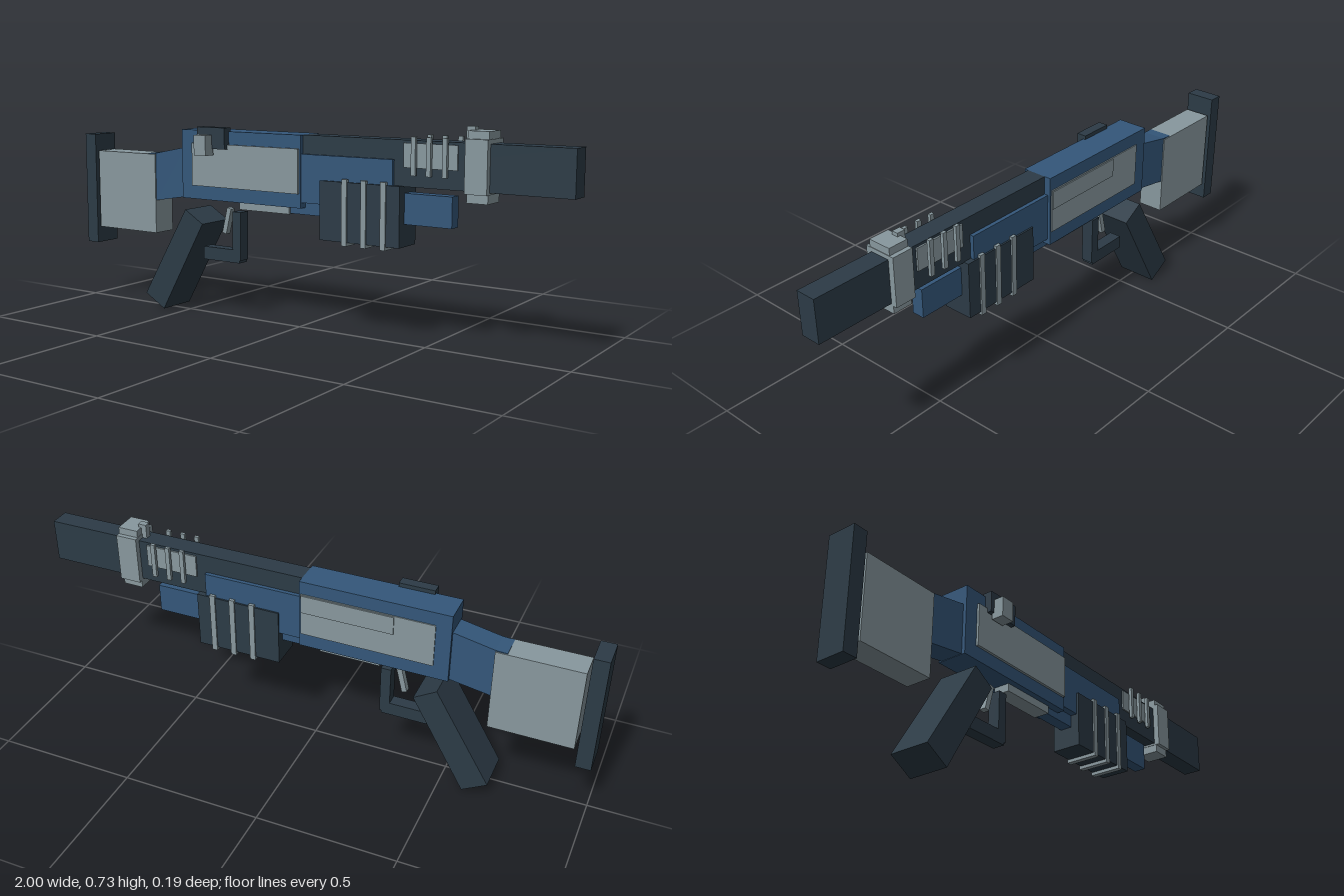
import * as THREE from 'three';

export function createModel() {
  const model = new THREE.Group();
  model.name = 'pumpActionProp';

  const paint = (name, color) => {
    const m = new THREE.MeshStandardMaterial({ color });
    m.name = name;
    return m;
  };
  const dark = paint('dark slate', 0x2c3b46);
  const blue = paint('steel blue', 0x34577a);
  const grey = paint('pale grey', 0x88989e);

  const MID = -0.02; // centre plane of the body

  const add = (name, geometry, material) => {
    const mesh = new THREE.Mesh(geometry, material);
    mesh.name = name;
    model.add(mesh);
    return mesh;
  };
  // box given by its limits on each axis
  const box = (name, mat, x0, x1, y0, y1, z0, z1) => {
    const mesh = add(name, new THREE.BoxGeometry(x1 - x0, y1 - y0, z1 - z0), mat);
    mesh.position.set((x0 + x1) / 2, (y0 + y1) / 2, (z0 + z1) / 2);
    return mesh;
  };
  // side outline extruded between two depths
  const slab = (name, mat, points, z0, z1) => {
    const shape = new THREE.Shape(points.map(([x, y]) => new THREE.Vector2(x, y)));
    const geo = new THREE.ExtrudeGeometry(shape, { depth: z1 - z0, bevelEnabled: false });
    return add(name, geo.translate(0, 0, z0), mat);
  };

  // stock
  box('buttPad', dark, -1, -0.947, 0.219, 0.647, -0.078, 0.03);
  box('stock', grey, -0.936, -0.645, 0.283, 0.583, -0.071, 0.024);
  slab('stockNeck', blue,
    [[-0.685, 0.4], [-0.645, 0.408], [-0.5, 0.432], [-0.5, 0.616], [-0.645, 0.587], [-0.685, 0.585]],
    -0.067, 0.019);

  // receiver with side plates
  box('receiver', blue, -0.503, 0.026, 0.43, 0.683, -0.079, 0.032);
  box('sidePlateLeft', grey, -0.45, 0.02, 0.48, 0.636, 0.03, 0.041);
  box('sidePlateRight', grey, -0.45, 0.02, 0.48, 0.636, -0.083, -0.077);
  box('ejectionCover', grey, -0.31, 0.018, 0.567, 0.633, -0.087, -0.08);
  box('loadingPort', grey, -0.256, -0.037, 0.402, 0.433, -0.05, 0.01);

  // bolt and handle
  box('bolt', dark, -0.41, -0.285, 0.62, 0.697, 0.022, 0.058);
  box('boltHandle', grey, -0.395, -0.342, 0.597, 0.67, 0.05, 0.095);

  // barrel, magazine tube and handguard
  box('barrel', dark, 0.026, 1, 0.531, 0.683, -0.055, 0.017);
  box('magazineTube', blue, -0.037, 0.59, 0.405, 0.508, -0.042, 0.003);
  box('handguard', blue, 0.024, 0.385, 0.45, 0.618, -0.069, 0.028);

  // pump with wrapping ribs
  box('pump', dark, 0.107, 0.417, 0.329, 0.533, -0.075, 0.036);
  for (const x of [0.207, 0.282, 0.357])
    box('pumpRib', grey, x - 0.01, x + 0.01, 0.317, 0.543, -0.08, 0.041);

  // heat shield plates and pins on both sides
  box('heatShield', grey, 0.422, 0.615, 0.594, 0.674, -0.061, 0.022);
  for (const x of [0.465, 0.52, 0.577])
    for (const side of [-1, 1]) {
      const z = MID - 0.003 + side * 0.055;
      box('shieldPin', grey, x - 0.008, x + 0.008, 0.57, 0.696, z - 0.006, z + 0.006);
    }

  // barrel band and front sight
  box('barrelBand', grey, 0.647, 0.724, 0.524, 0.697, -0.076, 0.038);
  box('barrelBandCore', grey, 0.649, 0.722, 0.495, 0.722, -0.06, 0.024);
  box('frontSight', grey, 0.63, 0.66, 0.68, 0.734, -0.03, -0.007);

  // grip, trigger and guard
  slab('grip', dark,
    [[-0.473, 0.39], [-0.674, 0.053], [-0.586, 0.002], [-0.393, 0.342]], -0.094, 0.055);
  box('guardPost', dark, -0.294, -0.258, 0.212, 0.39, -0.042, 0.003);
  box('guardBottom', dark, -0.43, -0.264, 0.202, 0.25, -0.042, 0.003);
  slab('trigger', grey,
    [[-0.327, 0.402], [-0.35, 0.308], [-0.332, 0.303], [-0.309, 0.397]], -0.031, -0.008);

  return model;
}
